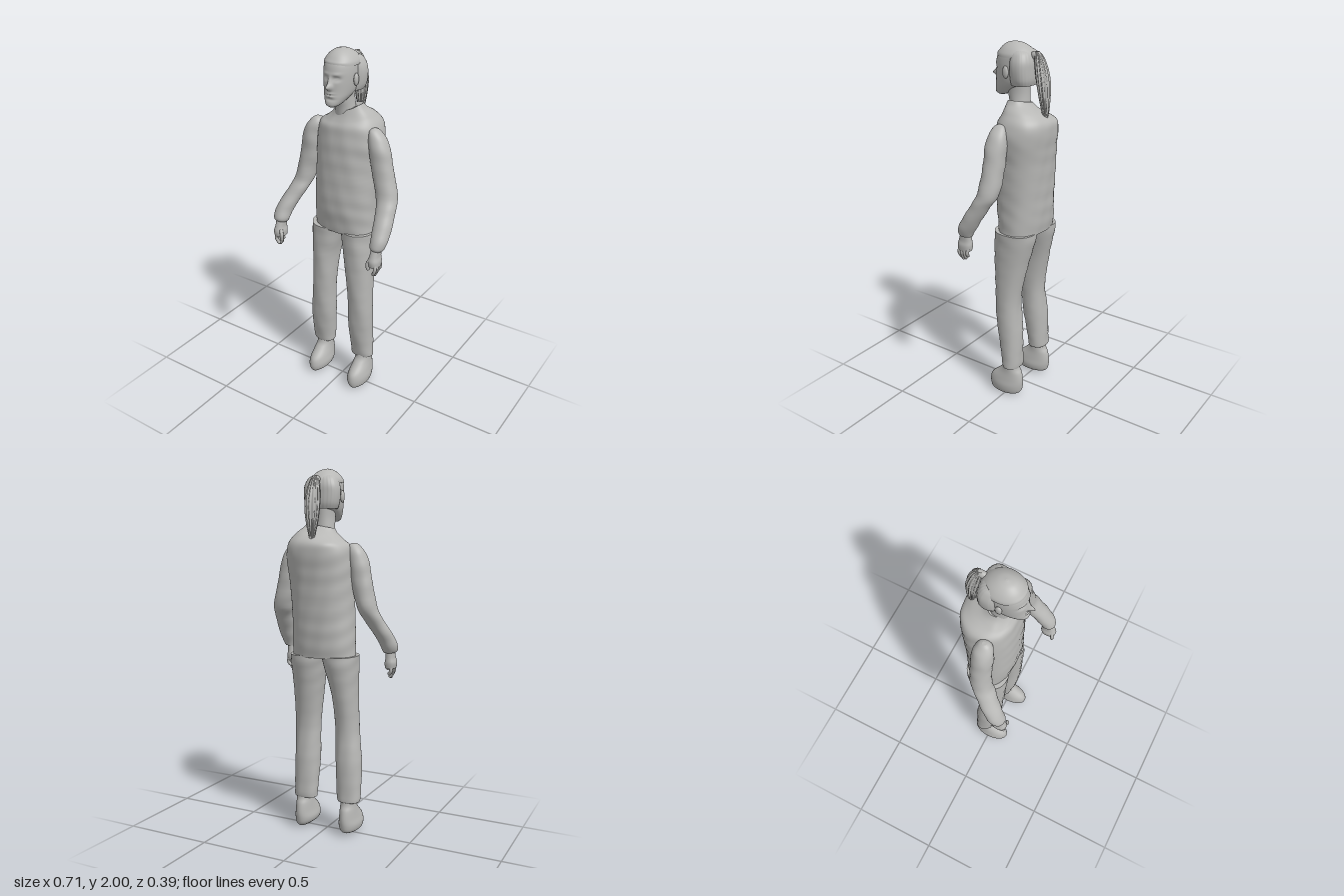
import * as THREE from 'three';

const grey = new THREE.MeshStandardMaterial({ color: 0xb8b8b6 });
grey.name = 'plain grey';

const smooth = THREE.MathUtils.smoothstep;
const bump = (x, y, sx, sy) => Math.exp(-((x / sx) ** 2) - (y / sy) ** 2);

function part(parent, name, geometry) {
  const mesh = new THREE.Mesh(geometry, grey);
  mesh.name = name;
  parent.add(mesh);
  return mesh;
}

// Catmull-Rom through the ring columns
function ringAt(rings, i, t) {
  const at = (k) => rings[Math.min(Math.max(k, 0), rings.length - 1)];
  const [a, b, c, d] = [at(i - 1), at(i), at(i + 1), at(i + 2)];
  return b.map((_, k) => 0.5 * (2 * b[k] + (c[k] - a[k]) * t
    + (2 * a[k] - 5 * b[k] + 4 * c[k] - d[k]) * t * t
    + (3 * b[k] - a[k] - 3 * c[k] + d[k]) * t * t * t));
}

// Closed skin over horizontal rings [y, xMin, xMax, zMin, zMax], lowest first
function loft(rings, { sides = 32, steps = 5, power = 2, warp = null, dip = 0 } = {}) {
  const pos = [], index = [], rows = (rings.length - 1) * steps;
  const v = new THREE.Vector3();
  for (let r = 0; r <= rows; r++) {
    const i = Math.min(Math.floor(r / steps), rings.length - 2);
    const [y, x0, x1, z0, z1] = ringAt(rings, i, r / steps - i);
    for (let s = 0; s < sides; s++) {
      const a = (s / sides) * Math.PI * 2, c = Math.cos(a), n = Math.sin(a);
      const px = Math.sign(c) * Math.abs(c) ** (2 / power);
      const pz = Math.sign(n) * Math.abs(n) ** (2 / power);
      v.set((x0 + x1) / 2 + px * (x1 - x0) / 2, y, (z0 + z1) / 2 + pz * (z1 - z0) / 2);
      if (warp) warp(v, a);
      pos.push(v.x, v.y, v.z);
    }
  }
  for (let r = 0; r < rows; r++) for (let s = 0; s < sides; s++) {
    const p = r * sides + s, q = r * sides + (s + 1) % sides;
    index.push(p, p + sides, q, q, p + sides, q + sides);
  }
  // End caps with their own corners, so the rims stay sharp
  for (const row of [0, rows]) {
    const base = pos.length / 3, mid = [0, 0, 0];
    for (let s = 0; s < sides; s++) for (let k = 0; k < 3; k++) {
      const value = pos[(row * sides + s) * 3 + k];
      pos.push(value);
      mid[k] += value / sides;
    }
    pos.push(mid[0], mid[1] - (row ? dip : 0), mid[2]);
    for (let s = 0; s < sides; s++) {
      const p = base + s, q = base + (s + 1) % sides;
      index.push(base + sides, ...(row ? [q, p] : [p, q]));
    }
  }
  const g = new THREE.BufferGeometry();
  g.setAttribute('position', new THREE.Float32BufferAttribute(pos, 3));
  g.setIndex(index);
  g.computeVertexNormals();
  return g;
}

// Slight cloth creases
function cloth(v) {
  const f = 0.0022 * Math.sin(v.y * 41 + v.x * 33) * Math.sin(v.x * 37 - v.y * 23 + v.z * 29);
  v.x += f;
  v.z += f;
}

// Nose, eye sockets, lips and chin
function face(v) {
  const x = v.x - 0.012, y = v.y, w = smooth(v.z, 0.05, 0.1);
  let d = 0.03 * bump(x, y - 1.828, 0.013, 0.014) + 0.016 * bump(x, y - 1.85, 0.009, 0.025);
  d += 0.006 * bump(x, y - 1.795, 0.022, 0.006) + 0.006 * bump(x, y - 1.782, 0.02, 0.006);
  d -= 0.004 * bump(x, y - 1.789, 0.022, 0.003) + 0.005 * bump(x, y - 1.766, 0.025, 0.007);
  for (const s of [-1, 1]) {
    d -= 0.013 * bump(x - s * 0.032, y - 1.868, 0.017, 0.011);
    d += 0.006 * bump(x - s * 0.032, y - 1.866, 0.01, 0.005);
    d += 0.004 * bump(x - s * 0.03, y - 1.89, 0.022, 0.007);
  }
  v.z += d * w;
}

function hand(parent, name, s, cx) {
  const group = new THREE.Group();
  group.name = name;
  group.position.x = cx;
  parent.add(group);
  part(group, 'palm', loft([[0.93, -0.03, 0.025, 0.112, 0.19], [0.96, -0.035, 0.027, 0.107, 0.194],
    [0.99, -0.028, 0.022, 0.11, 0.185], [1.04, -0.025, 0.025, 0.112, 0.168]], { sides: 20, power: 2.4 }));
  const digit = (label, r, ...pts) => {
    const path = new THREE.CatmullRomCurve3(pts.map((p) => new THREE.Vector3(p[0] * s, p[1], p[2])));
    part(group, label, new THREE.TubeGeometry(path, 8, r, 8));
    const end = path.getPoint(1);
    part(group, label + 'Tip', new THREE.SphereGeometry(r, 8, 6)).position.copy(end);
  };
  for (let i = 0; i < 4; i++) {
    const z = 0.122 + i * 0.018, low = [0.9, 0.885, 0.88, 0.888][i];
    digit('finger', 0.0095, [0.012, 0.945, z], [0.014, 0.915, z + 0.003], [0.002, low, z * 0.8 + 0.033]);
  }
  digit('thumb', 0.0105, [-0.016, 0.975, 0.175], [-0.028, 0.945, 0.184], [-0.026, 0.918, 0.182]);
}

export function createModel() {
  const model = new THREE.Group();
  model.name = 'standingFigure';

  // Shirt body with a slanted collar
  part(model, 'shirt', loft([
    [1.005, -0.175, 0.178, -0.155, 0.08], [1.1, -0.172, 0.178, -0.165, 0.095],
    [1.2, -0.168, 0.178, -0.17, 0.102], [1.4, -0.162, 0.187, -0.182, 0.097],
    [1.52, -0.16, 0.2, -0.195, 0.09], [1.6, -0.147, 0.19, -0.197, 0.08],
    [1.645, -0.105, 0.155, -0.158, 0.065], [1.68, -0.062, 0.122, -0.095, 0.048],
    [1.705, -0.045, 0.108, -0.068, 0.036]], {
    sides: 56, steps: 8, power: 2.3, dip: 0.02,
    warp(v) {
      cloth(v);
      const t = smooth(v.y, 1.58, 1.7);
      v.y += t * (0.2 * (v.x - 0.03) - 0.02 * smooth(v.z, 0, 0.05));
    },
  }));

  // Sleeves
  part(model, 'rightSleeve', loft([
    [1.018, -0.345, -0.278, 0.1, 0.172], [1.04, -0.357, -0.268, 0.088, 0.182], [1.1, -0.35, -0.25, 0.052, 0.158],
    [1.2, -0.31, -0.205, -0.01, 0.098], [1.27, -0.288, -0.18, -0.05, 0.065], [1.4, -0.262, -0.147, -0.058, 0.053],
    [1.5, -0.245, -0.13, -0.06, 0.053], [1.56, -0.222, -0.122, -0.055, 0.046],
    [1.6, -0.188, -0.13, -0.036, 0.028], [1.612, -0.168, -0.148, -0.015, 0.008]], { warp: cloth }));
  part(model, 'leftSleeve', loft([
    [1.018, 0.276, 0.338, 0.1, 0.172], [1.04, 0.267, 0.348, 0.088, 0.182], [1.1, 0.26, 0.356, 0.052, 0.158],
    [1.2, 0.243, 0.347, -0.01, 0.098], [1.27, 0.22, 0.336, -0.05, 0.065], [1.4, 0.185, 0.302, -0.058, 0.053],
    [1.5, 0.168, 0.28, -0.06, 0.053], [1.56, 0.162, 0.255, -0.055, 0.046],
    [1.6, 0.165, 0.22, -0.036, 0.028], [1.612, 0.182, 0.2, -0.015, 0.008]], { warp: cloth }));
  hand(model, 'rightHand', -1, -0.31);
  hand(model, 'leftHand', 1, 0.305);

  // Trousers
  part(model, 'rightTrouserLeg', loft([
    [0.195, -0.205, -0.085, -0.08, 0.02], [0.22, -0.212, -0.078, -0.082, 0.026], [0.4, -0.21, -0.065, -0.08, 0.055],
    [0.6, -0.188, -0.058, -0.07, 0.07], [0.8, -0.182, -0.046, -0.105, 0.08],
    [0.95, -0.188, -0.012, -0.142, 0.085], [1.012, -0.19, 0.004, -0.15, 0.084]],
  { sides: 36, power: 2.2, warp: cloth }));
  part(model, 'leftTrouserLeg', loft([
    [0.185, 0.055, 0.187, -0.08, 0.02], [0.22, 0.055, 0.188, -0.082, 0.026], [0.4, 0.047, 0.19, -0.08, 0.055],
    [0.6, 0.05, 0.19, -0.07, 0.07], [0.8, 0.028, 0.188, -0.105, 0.08],
    [0.95, 0.006, 0.19, -0.142, 0.085], [1.012, -0.004, 0.192, -0.15, 0.084]],
  { sides: 36, power: 2.2, warp: cloth }));

  // Shoes, with soles rolled towards a low edge
  for (const [name, s, cx] of [['rightShoe', -1, -0.143], ['leftShoe', 1, 0.132]]) {
    part(model, name, loft([
      [0.008, -0.03, 0.03, -0.06, 0.1], [0.025, -0.052, 0.05, -0.088, 0.112], [0.06, -0.06, 0.058, -0.098, 0.116],
      [0.1, -0.053, 0.053, -0.1, 0.104], [0.145, -0.046, 0.046, -0.092, 0.055],
      [0.18, -0.042, 0.044, -0.076, 0.025], [0.24, -0.042, 0.042, -0.07, 0.015]], {
      warp(v) {
        const low = 1 - smooth(v.y, 0, 0.08);
        v.y += low * (s > 0 ? -0.22 * v.x : 0.004);
        v.x += cx;
      },
    }));
  }

  // Neck and head
  part(model, 'neck', loft([[1.64, -0.045, 0.078, -0.065, 0.045], [1.7, -0.04, 0.068, -0.06, 0.05],
    [1.75, -0.038, 0.064, -0.058, 0.062], [1.81, -0.04, 0.066, -0.06, 0.06]]));
  part(model, 'head', loft([
    [1.724, -0.005, 0.028, 0.09, 0.125], [1.738, -0.026, 0.05, 0.045, 0.14], [1.77, -0.048, 0.072, -0.02, 0.136],
    [1.8, -0.06, 0.084, -0.065, 0.132], [1.85, -0.068, 0.092, -0.085, 0.13], [1.9, -0.07, 0.094, -0.085, 0.126],
    [1.94, -0.065, 0.089, -0.082, 0.115], [1.97, -0.045, 0.069, -0.055, 0.09], [1.99, -0.02, 0.044, -0.02, 0.06],
    [1.995, 0.006, 0.018, 0.018, 0.028]], { sides: 96, steps: 9, power: 2.15, warp: face }));
  for (const s of [-1, 1]) {
    const ear = part(model, s < 0 ? 'rightEar' : 'leftEar', new THREE.SphereGeometry(1, 14, 10));
    ear.scale.set(0.011, 0.032, 0.018);
    ear.position.set(0.012 + s * 0.086, 1.855, 0.026);
  }

  // Hair: crown, gathered back and ponytail
  const strands = (v, a) => { v.z += 0.0012 * Math.sin(a * 24); };
  part(model, 'hairCrown', loft([
    [1.925, -0.074, 0.098, -0.092, 0.118], [1.945, -0.07, 0.094, -0.086, 0.114], [1.972, -0.05, 0.074, -0.058, 0.094],
    [1.992, -0.022, 0.046, -0.02, 0.065], [2.0, 0.008, 0.016, 0.018, 0.028]],
  { sides: 48, power: 2.15, warp: (v) => { v.y += 0.012 * smooth(v.z, 0.06, 0.12) * (1 - smooth(v.y, 1.92, 1.96)); } }));
  part(model, 'hairBack', loft([
    [1.79, -0.07, 0.095, -0.09, 0.018], [1.82, -0.082, 0.107, -0.099, 0.02], [1.87, -0.088, 0.113, -0.1, 0.021],
    [1.91, -0.084, 0.109, -0.098, 0.021], [1.945, -0.068, 0.093, -0.084, 0.02], [1.962, -0.05, 0.075, -0.062, 0.015]],
  { sides: 72, power: 2.6, warp: strands }));
  const knot = part(model, 'hairKnot', new THREE.SphereGeometry(1, 16, 12));
  knot.scale.set(0.018, 0.022, 0.03);
  knot.position.set(0.015, 1.938, -0.098);
  part(model, 'ponytail', loft([
    [1.615, 0.008, 0.018, -0.165, -0.153], [1.66, -0.006, 0.03, -0.174, -0.143], [1.72, -0.018, 0.044, -0.178, -0.132],
    [1.8, -0.025, 0.054, -0.18, -0.118], [1.87, -0.02, 0.05, -0.168, -0.106], [1.93, -0.008, 0.038, -0.145, -0.098],
    [1.96, 0.006, 0.024, -0.12, -0.1]], {
    sides: 60,
    warp(v, a) {
      const k = 1 + 0.09 * Math.cos(a * 12);
      v.x = 0.015 + (v.x - 0.015) * k;
      v.z += 0.003 * Math.cos(a * 12) * Math.sin(a);
    },
  }));
  return model;
}
